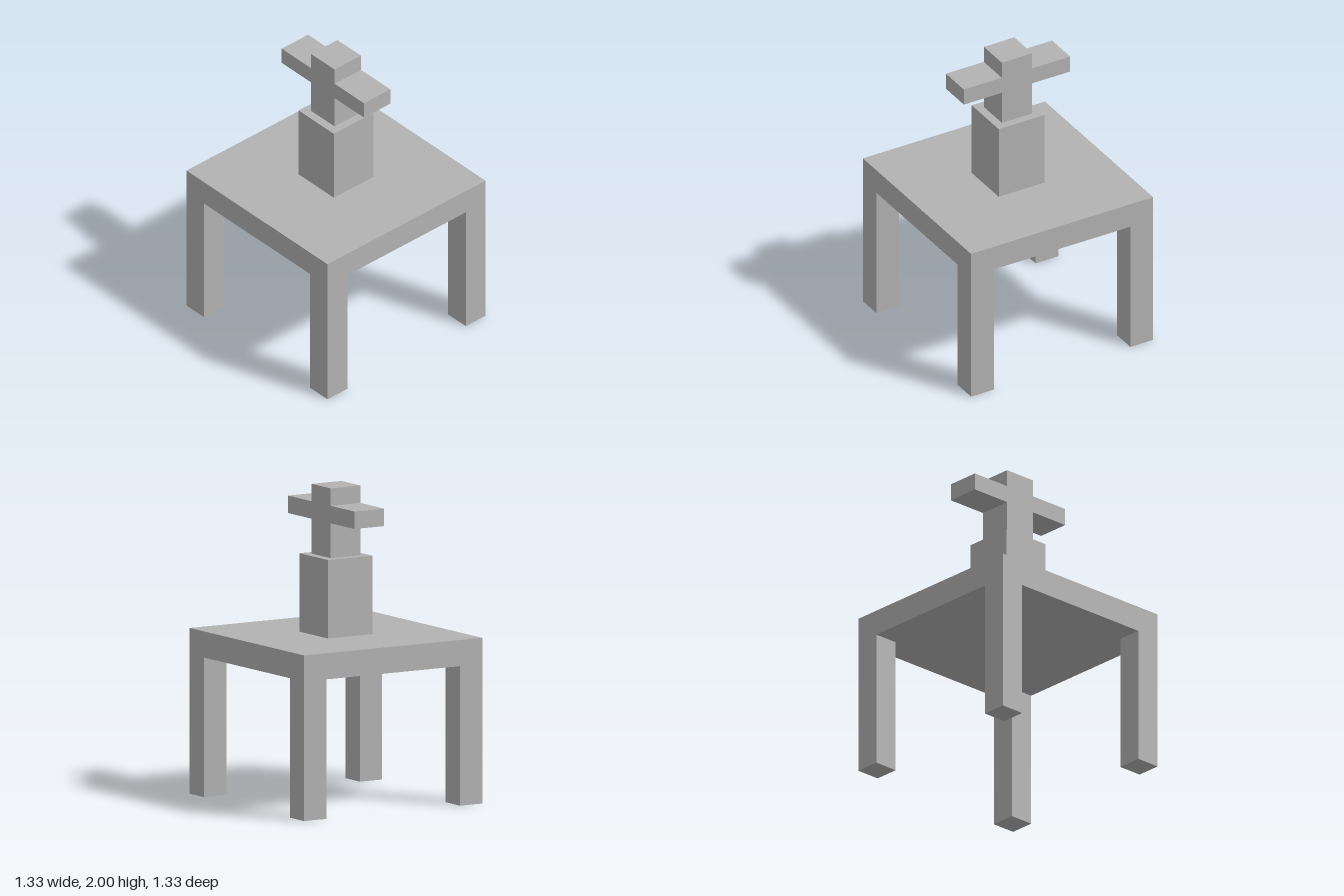
import * as THREE from 'three';

const U = 1 / 18; // grid unit: the model is 36 units tall

export function createModel() {
  const model = new THREE.Group();
  const grey = new THREE.MeshStandardMaterial({ color: 0xb2b2b2 });
  grey.name = 'grey';

  // Box given by size, base height and horizontal centre, in grid units
  const addBox = (name, [w, h, d], base, x = 0, z = 0) => {
    const mesh = new THREE.Mesh(new THREE.BoxGeometry(w * U, h * U, d * U), grey);
    mesh.name = name;
    mesh.position.set(x * U, (base + h / 2) * U, z * U);
    model.add(mesh);
  };

  // Table: slab on four corner legs, flush with its edges
  addBox('tableTop', [24, 3, 24], 16);
  for (const [sideName, sx] of [['Left', 1], ['Right', -1]]) {
    for (const [endName, sz] of [['front', 1], ['back', -1]]) {
      addBox(`${endName}${sideName}Leg`, [3, 16, 3], 0, sx * 10.5, sz * 10.5);
    }
  }

  // Pedestal block and the cross standing on it
  addBox('pedestal', [6, 9, 6], 19);
  addBox('crossPost', [4, 8, 4], 28);
  addBox('leftCrossArm', [5, 2, 4], 32, 4.5);
  addBox('rightCrossArm', [5, 2, 4], 32, -4.5);

  return model;
}
